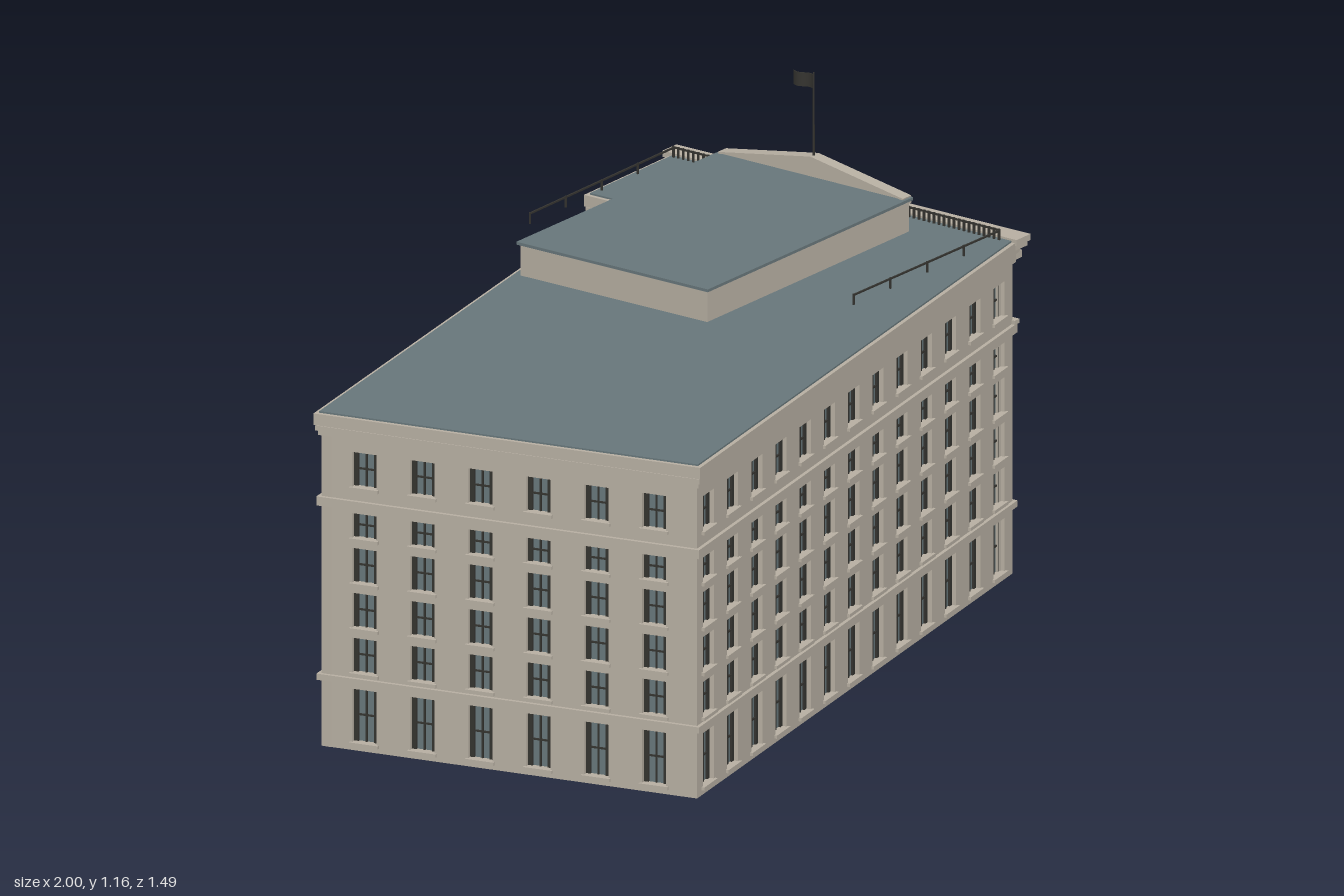
import * as THREE from 'three';
import { mergeGeometries } from 'three/addons/utils/BufferGeometryUtils.js';

const mat = (name, color) => Object.assign(new THREE.MeshStandardMaterial({ color }), { name });

// Footprint corners [x, z]; walls run in this order with the outside on local +z
const PLAN = [[-0.985, -0.165], [-0.685, 0.725], [0.955, 0.25], [0.88, -0.715], [0.55, -0.685], [0.557, -0.602]];
const HEIGHT = 0.81;
// Sill and head height of the windows on each storey
const ROWS = [[0.02, 0.15], [0.19, 0.275], [0.3, 0.385], [0.41, 0.495], [0.52, 0.58], [0.645, 0.73]];

// Moves every edge of the plan outward by d
function offsetPlan(d) {
  const n = PLAN.length;
  const normal = i => {
    const [p, q] = [PLAN[i % n], PLAN[(i + 1) % n]];
    return new THREE.Vector2(p[1] - q[1], q[0] - p[0]).normalize();
  };
  return PLAN.map(([x, z], i) => {
    const a = normal(i + n - 1), b = normal(i), k = d / (1 + a.dot(b));
    return [x + (a.x + b.x) * k, z + (a.y + b.y) * k];
  });
}

// Horizontal slab with a plan outline
function slab(points, y0, y1) {
  const shape = new THREE.Shape(points.map(([x, z]) => new THREE.Vector2(x, -z)));
  return new THREE.ExtrudeGeometry(shape, { depth: y1 - y0, bevelEnabled: false })
    .rotateX(-Math.PI / 2).translate(0, y0, 0);
}

// Box given by its two extremes on each axis
function box(x0, x1, y0, y1, z0, z1) {
  return new THREE.BoxGeometry(x1 - x0, y1 - y0, z1 - z0)
    .translate((x0 + x1) / 2, (y0 + y1) / 2, (z0 + z1) / 2);
}

function gable(x0, x1, y0, y1, z0, z1) {
  const s = new THREE.Shape([[x0, y0], [x1, y0], [(x0 + x1) / 2, y1]].map(p => new THREE.Vector2(...p)));
  return new THREE.ExtrudeGeometry(s, { depth: z1 - z0, bevelEnabled: false }).translate(0, 0, z0);
}

const cylinder = (r0, r1, x, y0, y1, z, n = 16) =>
  new THREE.CylinderGeometry(r1, r0, y1 - y0, n).translate(x, (y0 + y1) / 2, z);

export function createModel() {
  const stone = mat('stone', 0xb6aea1);
  const slate = mat('slate', 0x67767a);
  const dark = mat('darkMetal', 0x34332f);
  const root = new THREE.Group();
  root.name = 'building';

  const add = (parent, name, geometries, material) => {
    if (!geometries.length) return;
    const flat = geometries.map(g => (g.index ? g.toNonIndexed() : g));
    const mesh = new THREE.Mesh(mergeGeometries(flat), material);
    mesh.name = name;
    parent.add(mesh);
  };

  // Group whose x axis follows p to q and whose z axis points outward
  const edgeGroup = (name, p, q) => {
    const g = new THREE.Group();
    g.name = name;
    g.position.set(p[0], 0, p[1]);
    g.rotation.y = Math.atan2(p[1] - q[1], q[0] - p[0]);
    g.userData.length = Math.hypot(q[0] - p[0], q[1] - p[1]);
    root.add(g);
    return g;
  };

  // Wall with real openings, recessed panes, frames and sills
  const wall = (g, windows, { depth = 0.025, bar = 0.011, extra = [] } = {}) => {
    const L = g.userData.length;
    const rect = (C, x0, x1, y0, y1) => new C([[x0, y0], [x1, y0], [x1, y1], [x0, y1]].map(p => new THREE.Vector2(...p)));
    const shape = rect(THREE.Shape, 0, L, 0, HEIGHT);
    const panes = [], frames = [], sills = [];
    for (const [u, w, y0, y1] of windows) {
      const a = u - w / 2, b = u + w / 2, mid = y0 + (y1 - y0) * 0.5;
      shape.holes.push(rect(THREE.Path, a, b, y0, y1));
      panes.push(box(a, b, y0, y1, -0.022, -0.016));
      frames.push(box(a, a + bar, y0, y1, -0.017, -0.011), box(b - bar, b, y0, y1, -0.017, -0.011),
        box(u - 0.002, u + 0.002, y0, y1, -0.017, -0.012), box(a, b, mid - 0.002, mid + 0.002, -0.017, -0.012),
        box(a, b, y1 - 0.004, y1, -0.017, -0.011));
      sills.push(box(a - 0.006, b + 0.006, y0 - 0.008, y0, -0.01, 0.007));
    }
    for (const e of extra) shape.holes.push(rect(THREE.Path, ...e));
    add(g, 'wall', [new THREE.ExtrudeGeometry(shape, { depth, bevelEnabled: false }).translate(0, 0, -depth)], stone);
    add(g, 'windowGlass', panes, slate);
    add(g, 'windowFrames', frames, dark);
    add(g, 'windowSills', sills, stone);
  };

  // Plain walls: edge index, window columns, first column, spacing
  const sides = [['endWall', 0, 6, 0.107, 0.145], ['longFrontWall', 1, 13, 0.061, 0.1311],
    ['returnWall', 3, 2, 0.1, 0.131], ['stepWall', 4, 0, 0, 0], ['longBackWall', 5, 12, 0.083, 0.1311]];
  for (const [name, i, n, start, step] of sides) {
    const windows = [];
    for (let c = 0; c < n; c++) for (const [y0, y1] of ROWS) windows.push([start + c * step, 0.06, y0, y1]);
    wall(edgeGroup(name, PLAN[i], PLAN[(i + 1) % PLAN.length]), windows);
  }

  // Belt courses and top mouldings around the whole block
  const bands = [[0, 0.012, 0.005], [0.163, 0.178, 0.009], [0.59, 0.612, 0.009], [0.762, 0.774, 0.006],
    [0.774, 0.786, 0.011], [0.786, 0.817, 0.015]];
  add(root, 'beltCourses', bands.slice(1, 5).map(([a, b, d]) => {
    const ring = new THREE.Shape(offsetPlan(d).map(([x, z]) => new THREE.Vector2(x, -z)));
    ring.holes.push(new THREE.Path(offsetPlan(-0.004).map(([x, z]) => new THREE.Vector2(x, -z))));
    return new THREE.ExtrudeGeometry(ring, { depth: b - a, bevelEnabled: false }).rotateX(-Math.PI / 2).translate(0, a, 0);
  }), stone);
  add(root, 'parapet', [slab(offsetPlan(0.014), 0.788, 0.816)], stone);
  add(root, 'roof', [slab(offsetPlan(0.004), 0.81, 0.82)], slate);
  add(root, 'underside', [slab(offsetPlan(-0.002), -0.0005, 0.006)], dark);

  // Entrance facade; u runs along it
  const F = edgeGroup('entranceFacade', PLAN[2], PLAN[3]);
  const L = F.userData.length;
  const outer = [0.117, 0.848], bays = [0.322, 0.483, 0.648];
  const main = [];
  for (const u of outer) main.push([u, 0.06, 0.015, 0.145], [u, 0.075, 0.29, 0.425], [u, 0.055, 0.49, 0.575], [u, 0.055, 0.645, 0.725]);
  for (const u of bays) main.push([u, 0.055, 0.645, 0.725]);
  main.push([bays[0], 0.07, 0.015, 0.145], [bays[2], 0.07, 0.015, 0.145]);
  wall(F, main, { depth: 0.06, bar: 0.004, extra: [[0.263, 0.703, 0.185, 0.572], [0.443, 0.523, 0.005, 0.155]] });

  // Door with raised panels
  const panels = [];
  for (let r = 0; r < 4; r++) for (const s of [-1, 1])
    panels.push(box(0.483 + s * 0.018 - 0.011, 0.483 + s * 0.018 + 0.011, 0.015 + r * 0.034, 0.04 + r * 0.034, -0.02, -0.014));
  add(F, 'door', [box(0.443, 0.523, 0.005, 0.155, -0.03, -0.02), ...panels], dark);
  add(F, 'doorHood', [box(0.43, 0.536, 0.155, 0.172, 0, 0.022), box(0.44, 0.526, 0.172, 0.19, 0, 0.014)], stone);

  // Recessed bays behind the columns
  const glass = [], metal = [], plaques = [];
  for (const u of bays) {
    const a = u - 0.052, b = u + 0.052;
    glass.push(box(a, b, 0.19, 0.565, -0.05, -0.045));
    metal.push(box(a, b, 0.405, 0.462, -0.046, -0.036), box(a, b, 0.55, 0.565, -0.046, -0.04), box(a, b, 0.245, 0.256, -0.046, -0.03), box(a, b, 0.19, 0.2, -0.046, -0.03));
    for (const x of [a, u - 0.02, u + 0.018, b - 0.004]) metal.push(box(x, x + 0.004, 0.19, 0.565, -0.046, -0.04));
    metal.push(box(a, b, 0.505, 0.508, -0.046, -0.041), box(a, b, 0.33, 0.333, -0.046, -0.041));
    for (let k = 0; k < 10; k++) metal.push(box(a + k * 0.011, a + k * 0.011 + 0.005, 0.2, 0.245, -0.042, -0.034));
    plaques.push(box(a + 0.01, b - 0.01, 0.42, 0.446, -0.037, -0.033));
  }
  add(F, 'bayBacking', [box(0.255, 0.711, 0.18, 0.58, -0.062, -0.049),
    ...[0.263, 0.374, 0.535, 0.7].map((x, i) => box(x, [0.27, 0.431, 0.596, 0.703][i], 0.185, 0.572, -0.05, -0.036))], stone);
  add(F, 'bayGlass', glass, slate);
  add(F, 'bayMetalwork', metal, dark);
  add(F, 'bayPlaques', plaques, stone);

  // Round columns and flanking pilasters
  const columns = [];
  for (const u of [0.402, 0.566]) {
    columns.push(cylinder(0.023, 0.019, u, 0.2, 0.55, -0.008), cylinder(0.021, 0.027, u, 0.545, 0.56, -0.008),
      box(u - 0.029, u + 0.029, 0.56, 0.574, -0.035, 0.018), box(u - 0.028, u + 0.028, 0.18, 0.203, -0.035, 0.018));
    for (const s of [-1, 1])
      columns.push(new THREE.CylinderGeometry(0.009, 0.009, 0.04, 12).rotateX(Math.PI / 2).translate(u + s * 0.024, 0.553, -0.008));
  }
  for (const u of [0.234, 0.732])
    columns.push(box(u - 0.024, u + 0.024, 0.2, 0.555, 0, 0.01), box(u - 0.031, u + 0.031, 0.555, 0.575, 0, 0.016), box(u - 0.03, u + 0.03, 0.178, 0.202, 0, 0.015));
  add(F, 'columns', columns, stone);

  // Hooded side windows with small balconies
  const hoods = [], rails = [];
  for (const u of outer) {
    hoods.push(gable(u - 0.062, u + 0.062, 0.445, 0.483, 0, 0.024), box(u - 0.058, u + 0.058, 0.435, 0.446, 0, 0.02),
      box(u - 0.05, u - 0.038, 0.28, 0.436, 0, 0.009), box(u + 0.038, u + 0.05, 0.28, 0.436, 0, 0.009),
      box(u - 0.055, u + 0.055, 0.25, 0.262, 0, 0.035), box(u - 0.042, u - 0.026, 0.222, 0.251, 0, 0.022), box(u + 0.026, u + 0.042, 0.222, 0.251, 0, 0.022));
    rails.push(box(u - 0.053, u + 0.053, 0.29, 0.294, 0.03, 0.034));
    for (let k = 0; k < 11; k++) rails.push(box(u - 0.053 + k * 0.0102, u - 0.049 + k * 0.0102, 0.262, 0.29, 0.03, 0.034));
    for (const s of [-0.053, 0.049]) rails.push(box(u + s, u + s + 0.004, 0.29, 0.294, 0, 0.032));
  }
  add(F, 'windowHoodsAndBalconies', hoods, stone);
  add(F, 'balconyRailings', rails, dark);

  // Attic slits and round medallions
  add(F, 'atticSlits', bays.flatMap(u => [-0.05, 0.05].map(s => box(u + s - 0.006, u + s + 0.006, 0.645, 0.725, 0, 0.005))), dark);
  for (const u of [0.222, 0.743]) {
    add(F, 'medallion', [new THREE.CylinderGeometry(0.017, 0.02, 0.01, 20).rotateX(Math.PI / 2).translate(u, 0.69, 0.005)], stone);
    add(F, 'medallionRing', [new THREE.TorusGeometry(0.018, 0.003, 6, 20).translate(u, 0.69, 0.008)], dark);
  }

  // Deep facade cornice with dentils
  const cornice = [box(-0.012, L + 0.014, 0.772, 0.79, -0.01, 0.02), box(-0.018, L + 0.024, 0.798, 0.812, -0.012, 0.034),
    box(-0.022, L + 0.032, 0.81, 0.825, -0.014, 0.04), box(-0.01, L + 0.012, 0.612, 0.622, -0.005, 0.014)];
  for (let k = 0; k < 49; k++) cornice.push(box(k * 0.02, k * 0.02 + 0.011, 0.788, 0.8, -0.01, 0.025));
  add(F, 'cornice', cornice, stone);

  // Roof railings along the facade and back along both sides
  const railing = (name, p, q, step, posts) => {
    const g = edgeGroup(name, p, q), len = g.userData.length, parts = [box(0, len, 0.842, 0.846, -0.002, 0.002)];
    for (let x = 0; x <= len; x += step) parts.push(box(x, x + posts, 0.819, 0.847, -0.002, 0.002));
    add(g, 'rail', parts, dark);
  };
  railing('facadeRailing', [0.928, 0.235], [0.858, -0.705], 0.0145, 0.005);
  railing('frontSideRailing', [0.37, 0.275], [0.928, 0.235], 0.14, 0.004);
  railing('backSideRailing', [0.858, -0.705], [0.3, -0.655], 0.14, 0.004);

  // Rooftop block with slate cover
  const block = [[0.015, -0.435], [0.06, 0.1], [0.835, 0.038], [0.795, -0.495]];
  add(root, 'penthouse', [slab(block, 0.815, 0.897)], stone);
  add(root, 'penthouseRoof', [slab([[0.008, -0.441], [0.054, 0.107], [0.842, 0.044], [0.801, -0.502]], 0.896, 0.903)], slate);

  // Gabled front of the rooftop block
  const P = edgeGroup('penthouseFront', block[2], block[3]);
  const pl = P.userData.length, cx = pl / 2;
  add(P, 'pediment', [gable(0, pl, 0.902, 0.948, -0.022, 0.002), box(0, pl, 0.888, 0.904, 0, 0.008)], stone);
  const slope = Math.atan2(0.046, cx), run = Math.hypot(0.046, cx);
  add(P, 'pedimentEdges', [1, -1].map(s => new THREE.BoxGeometry(run, 0.005, 0.032)
    .rotateZ(s * slope).translate(cx - s * cx / 2, 0.927, -0.009)), stone);
  const lights = [], surrounds = [];
  for (let k = 0; k < 7; k++) {
    const u = cx + (k - 3) * 0.062;
    surrounds.push(box(u - 0.019, u + 0.019, 0.838, 0.876, 0, 0.003));
    for (const s of [-0.009, 0.009]) lights.push(box(u + s - 0.006, u + s + 0.006, 0.842, 0.872, 0.001, 0.005));
  }
  add(P, 'penthouseWindowFrames', surrounds, dark);
  add(P, 'penthouseWindows', lights, slate);

  // Flagpole and rippling flag
  add(P, 'flagpole', [cylinder(0.003, 0.002, cx, 0.9, 1.155, -0.012, 8)], dark);
  const cloth = new THREE.BoxGeometry(0.058, 0.034, 0.002, 10, 1, 1).translate(cx + 0.03, 1.132, -0.012);
  const pos = cloth.attributes.position;
  for (let i = 0; i < pos.count; i++) pos.setZ(i, pos.getZ(i) + 0.005 * Math.sin((pos.getX(i) - cx) * 110));
  cloth.computeVertexNormals();
  add(P, 'flag', [cloth], dark);

  return root;
}
